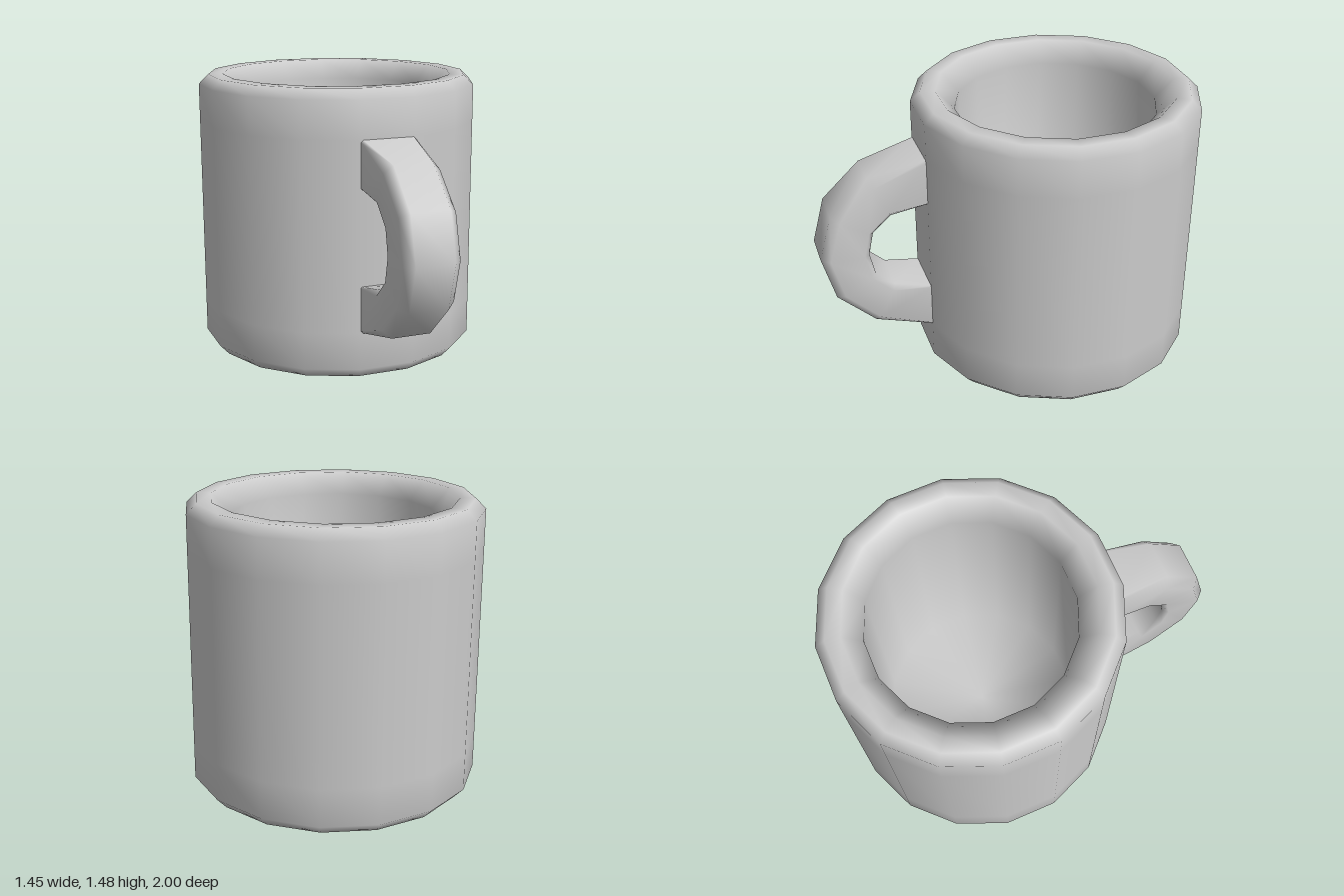
import * as THREE from 'three';

const SIDES = 16;
const BODY_Z = -0.277;

// Cup: outer wall, bevelled edges, sloped inner lip and hollow inside.
// Radii are measured to the flats of the 16-sided wall.
function createCup(material) {
  const toCorner = 1 / Math.cos(Math.PI / SIDES);
  const profile = [
    [0, 0], [0.675, 0], [0.725, 0.055], [0.725, 0.25], [0.725, 1.235],
    [0.725, 1.43], [0.675, 1.48], [0.6, 1.48], [0.507, 1.38],
    [0.507, 0.14], [0, 0.14],
  ].map(([r, y]) => new THREE.Vector2(r * toCorner, y));
  const geometry = new THREE.LatheGeometry(profile, SIDES, Math.PI / SIDES);
  const cup = new THREE.Mesh(geometry, material);
  cup.name = 'cup';
  cup.position.z = BODY_Z;
  return cup;
}

// Handle: chamfered bar swept through stations, each with an outer and an inner point.
function createHandle(material) {
  const midY = 0.743;
  // [outer z, outer y offset, inner z, inner y offset, chamfer], top half down to the middle
  const half = [
    [0.40, 0.505, 0.40, 0.258, 0.01],
    [0.45, 0.492, 0.45, 0.247, 0.012],
    [0.74, 0.422, 0.635, 0.207, 0.045],
    [0.935, 0.238, 0.73, 0.12, 0.045],
    [1.0, 0, 0.755, 0, 0.045],
  ];
  const mirrored = half.slice(0, -1).reverse()
    .map(([oz, oy, iz, iy, c]) => [oz, -oy, iz, -iy, c]);
  const stations = [...half, ...mirrored];

  const w = 0.145;
  const positions = [];
  const index = [];
  for (const [oz, oy, iz, iy, c] of stations) {
    const thickness = Math.hypot(oz - iz, oy - iy);
    const a = c / thickness;
    const b = (c * 0.6) / thickness;
    // x and the fraction from the outer point towards the inner point
    const section = [
      [w - c, 0], [w, a], [w, 1 - b], [w - c * 0.6, 1],
      [-w + c * 0.6, 1], [-w, 1 - b], [-w, a], [-w + c, 0],
    ];
    for (const [x, t] of section) {
      positions.push(x, midY + oy + (iy - oy) * t, oz + (iz - oz) * t);
    }
  }
  const n = 8;
  for (let s = 0; s < stations.length - 1; s++) {
    for (let k = 0; k < n; k++) {
      const p = s * n + k;
      const q = s * n + (k + 1) % n;
      index.push(p, q + n, q, p, p + n, q + n);
    }
  }
  const geometry = new THREE.BufferGeometry();
  geometry.setAttribute('position', new THREE.Float32BufferAttribute(positions, 3));
  geometry.setIndex(index);
  geometry.computeVertexNormals();
  const handle = new THREE.Mesh(geometry, material);
  handle.name = 'handle';
  return handle;
}

export function createModel() {
  const material = new THREE.MeshStandardMaterial({ color: 0xcccccc });
  const mug = new THREE.Group();
  mug.name = 'mug';
  mug.add(createCup(material), createHandle(material));
  return mug;
}
